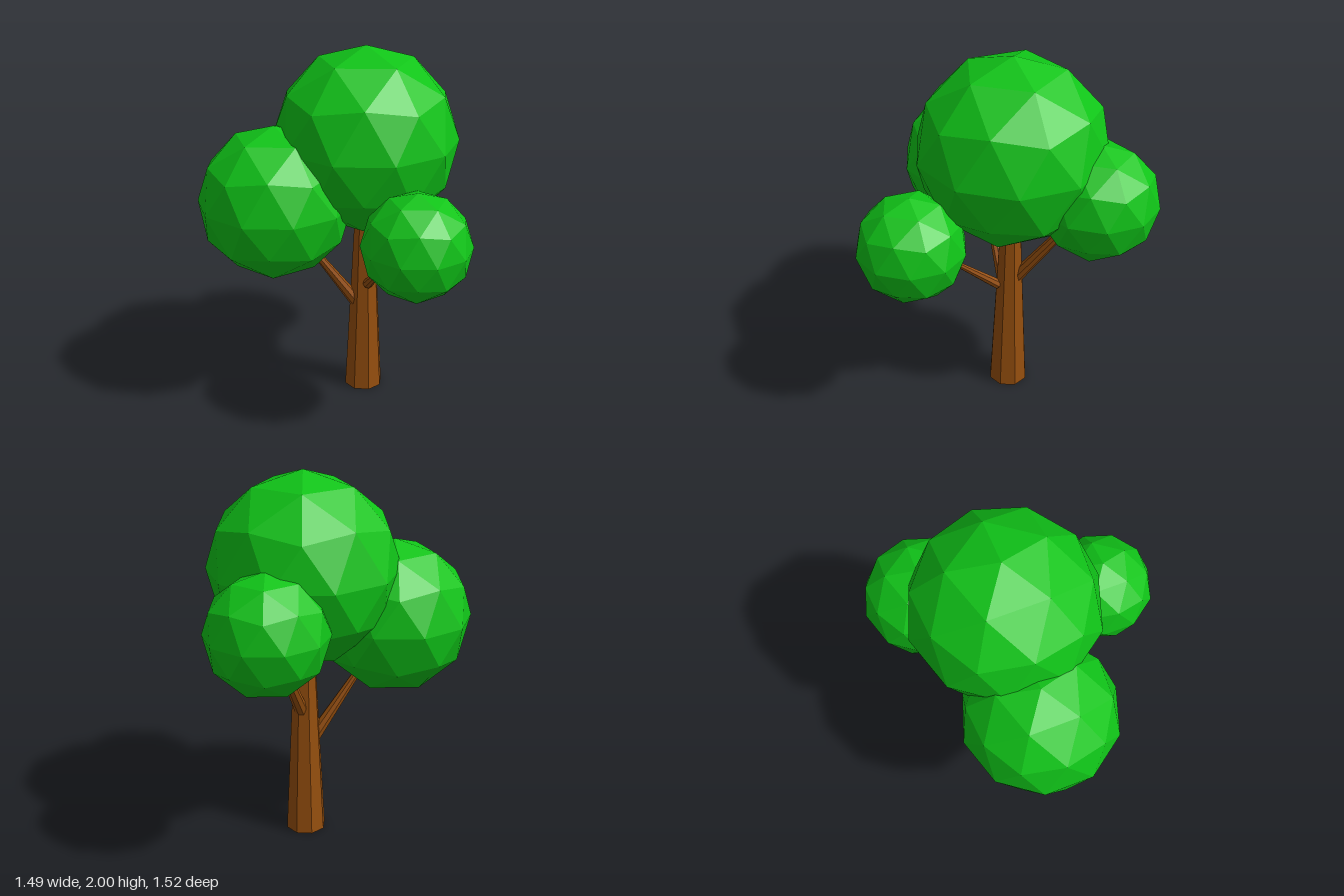
import * as THREE from 'three';

const bark = new THREE.MeshStandardMaterial({ color: 0x964f0e, flatShading: true });
const leaf = new THREE.MeshStandardMaterial({ color: 0x10c418, flatShading: true });

// Tapered eight-sided limb running between two points
function limb(name, from, to, r0, r1) {
  const a = new THREE.Vector3(...from);
  const dir = new THREE.Vector3(...to).sub(a);
  const geo = new THREE.CylinderGeometry(r1, r0, dir.length(), 8);
  geo.translate(0, dir.length() / 2, 0);
  const mesh = new THREE.Mesh(geo, bark);
  mesh.name = name;
  mesh.position.copy(a);
  mesh.quaternion.setFromUnitVectors(new THREE.Vector3(0, 1, 0), dir.normalize());
  return mesh;
}

// Faceted ball of leaves, turned so that one icosahedron corner points straight up
function foliage(name, centre, radius) {
  const geo = new THREE.IcosahedronGeometry(radius, 1);
  geo.rotateZ(-Math.atan(2 / (1 + Math.sqrt(5))));
  const mesh = new THREE.Mesh(geo, leaf);
  mesh.name = name;
  mesh.position.set(...centre);
  return mesh;
}

export function createModel() {
  const tree = new THREE.Group();
  tree.name = 'tree';

  // Trunk and its three branches
  tree.add(
    limb('trunk', [0.15, 0, -0.1], [0.15, 1.1, -0.1], 0.11, 0.055),
    limb('rightBranch', [0.1, 0.54, -0.1], [-0.25, 1.03, -0.1], 0.037, 0.012),
    limb('frontBranch', [0.15, 0.67, -0.03], [0.165, 0.97, 0.325], 0.029, 0.008),
    limb('backBranch', [0.17, 0.7, -0.12], [0.34, 1.08, -0.33], 0.037, 0.024),
  );

  // Leaf crowns
  tree.add(
    foliage('mainCrown', [0.15, 1.498, -0.1], 0.502),
    foliage('rightCrown', [-0.35, 1.195, -0.1], 0.416),
    foliage('frontCrown', [0.243, 1.098, 0.475], 0.286),
    foliage('backCrown', [0.444, 1.288, -0.451], 0.312),
  );
  return tree;
}
